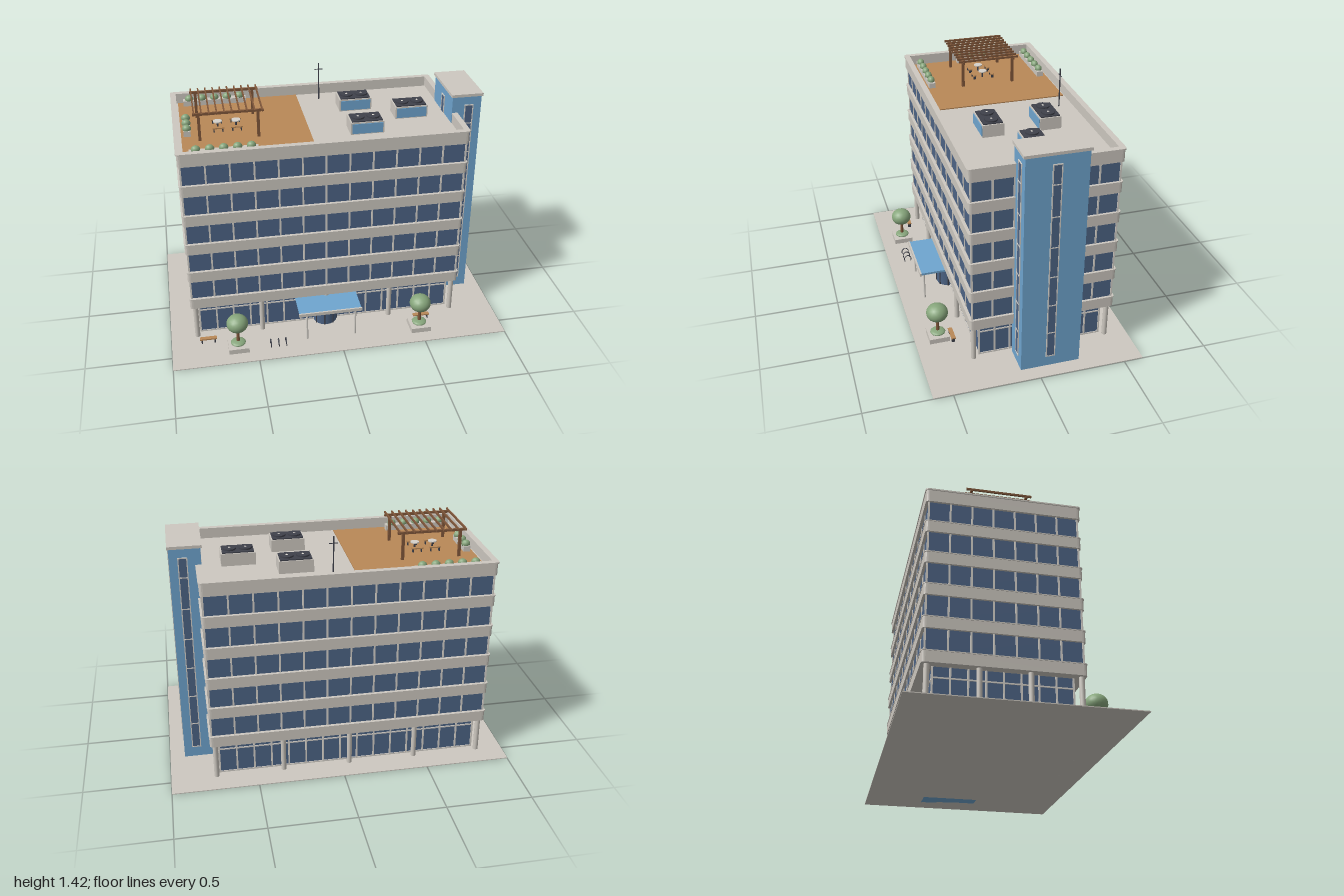
import * as THREE from 'three';

const mat = (name, color) => Object.assign(new THREE.MeshStandardMaterial({ color }), { name });
const stone = mat('stone', 0xcdc8c0), glass = mat('glass', 0x4d6485), blue = mat('bluePanel', 0x6fa5cf);
const wood = mat('wood', 0xb98857), darkWood = mat('darkWood', 0x80573a), dark = mat('darkMetal', 0x3f414b);
const leaf = mat('leaf', 0x87a67c), frame = mat('frame', 0xd6d2cb);

const CX = -0.053, CZ = -0.085;

function add(parent, name, geo, m, x = 0, y = 0, z = 0) {
  const mesh = new THREE.Mesh(geo, m);
  mesh.name = name;
  mesh.position.set(x, y, z);
  parent.add(mesh);
  return mesh;
}
// Box given by its limits on each axis
function box(parent, name, m, x0, x1, y0, y1, z0, z1) {
  return add(parent, name, new THREE.BoxGeometry(x1 - x0, y1 - y0, z1 - z0), m,
    (x0 + x1) / 2, (y0 + y1) / 2, (z0 + z1) / 2);
}
function cyl(parent, name, m, r, y0, y1, x, z, n = 16) {
  return add(parent, name, new THREE.CylinderGeometry(r, r, y1 - y0, n), m, x, (y0 + y1) / 2, z);
}
function group(parent, name) {
  const g = new THREE.Group();
  g.name = name;
  parent.add(g);
  return g;
}
function roundRect(p, w, d, r) {
  p.moveTo(-w + r, -d).lineTo(w - r, -d).quadraticCurveTo(w, -d, w, -d + r)
    .lineTo(w, d - r).quadraticCurveTo(w, d, w - r, d)
    .lineTo(-w + r, d).quadraticCurveTo(-w, d, -w, d - r)
    .lineTo(-w, -d + r).quadraticCurveTo(-w, -d, -w + r, -d);
  return p;
}
// Rounded horizontal slab, optionally with a hole leaving a wall of the given thickness
function slab(parent, name, w, d, y0, y1, wall = 0) {
  const s = roundRect(new THREE.Shape(), w, d, 0.02);
  if (wall) s.holes.push(roundRect(new THREE.Path(), w - wall, d - wall, 0.004));
  const geo = new THREE.ExtrudeGeometry(s, { depth: y1 - y0, bevelEnabled: false, curveSegments: 4 });
  geo.rotateX(-Math.PI / 2);
  return add(parent, name, geo, stone, CX, y0, CZ);
}
// Glazed storey with evenly spaced mullions on all four sides
function glazing(parent, x0, x1, z0, z1, y0, y1, nx, nz, t) {
  box(parent, 'glazing', glass, x0, x1, y0, y1, z0, z1);
  const post = (x, z) => box(parent, 'mullion', frame, x - t, x + t, y0, y1, z - t, z + t);
  for (let i = 0; i <= nx; i++) for (const z of [z0, z1]) post(x0 + (x1 - x0) * i / nx, z);
  for (let i = 1; i < nz; i++) for (const x of [x0, x1]) post(x, z0 + (z1 - z0) * i / nz);
}

function buildTower(root) {
  const g = group(root, 'stairTower');
  box(g, 'towerBody', blue, 0.738, 0.913, 0, 1.345, -0.255, 0.09);
  box(g, 'towerCap', stone, 0.73, 0.92, 1.345, 1.362, -0.265, 0.1);
  // Tall window strip, built facing +z and turned to each face
  const strip = (x, z, turn) => {
    const s = group(g, 'windowStrip');
    s.position.set(x, 0, z);
    s.rotation.y = turn;
    box(s, 'stripGlass', glass, -0.022, 0.022, 0.075, 1.288, -0.003, 0.003);
    for (const e of [-0.024, 0.024]) box(s, 'stripFrame', frame, e - 0.003, e + 0.003, 0.07, 1.292, -0.003, 0.005);
    for (const y of [0.073, 0.235, 0.422, 0.61, 0.797, 0.985, 1.175, 1.29])
      box(s, 'stripBar', frame, -0.026, 0.026, y - 0.003, y + 0.003, -0.003, 0.005);
  };
  strip(0.839, 0.09, 0);
  strip(0.913, -0.081, Math.PI / 2);
  strip(0.839, -0.255, Math.PI);
  strip(0.738, -0.081, -Math.PI / 2);
}

function buildRoof(root) {
  const g = group(root, 'roof');
  box(g, 'deck', wood, -0.835, -0.1, 1.18, 1.188, -0.48, 0.305);

  // Cooling units
  for (const [x, z] of [[0.222, -0.253], [0.527, -0.087], [0.222, 0.08]]) {
    const u = group(g, 'coolingUnit');
    u.position.set(x, 0, z);
    box(u, 'unitBody', stone, -0.098, 0.098, 1.18, 1.255, -0.063, 0.063);
    box(u, 'unitPanel', blue, -0.09, 0.09, 1.188, 1.248, 0.062, 0.067);
    box(u, 'unitTop', dark, -0.09, 0.09, 1.255, 1.261, -0.056, 0.056);
    for (const s of [-0.045, 0.045]) {
      cyl(u, 'fanRing', dark, 0.038, 1.261, 1.27, s, 0, 20);
      add(u, 'fanHub', new THREE.ConeGeometry(0.009, 0.006, 8), frame, s, 1.272, 0);
    }
  }

  // Pergola
  const p = group(g, 'pergola');
  for (const z of [-0.245, 0.07]) {
    for (const x of [-0.732, -0.398]) box(p, 'pergolaPost', darkWood, x - 0.008, x + 0.008, 1.185, 1.345, z - 0.008, z + 0.008);
    box(p, 'pergolaBeam', darkWood, -0.765, -0.365, 1.342, 1.356, z - 0.006, z + 0.006);
  }
  for (let i = 0; i < 10; i++) {
    const x = -0.757 + i * 0.0425;
    box(p, 'pergolaRafter', darkWood, x - 0.004, x + 0.004, 1.352, 1.364, -0.275, 0.1);
  }

  // Tables with benches
  for (const x of [-0.62, -0.513]) {
    cyl(g, 'tableTop', frame, 0.026, 1.225, 1.231, x, -0.085);
    cyl(g, 'tableLeg', dark, 0.005, 1.188, 1.225, x, -0.085, 8);
    for (const z of [-0.143, -0.028]) {
      box(g, 'deckBench', wood, x - 0.034, x + 0.034, 1.208, 1.215, z - 0.01, z + 0.01);
      for (const s of [-0.025, 0.025]) box(g, 'benchLeg', dark, x + s - 0.003, x + s + 0.003, 1.188, 1.208, z - 0.008, z + 0.008);
    }
  }

  // Planters with shrubs
  const shrub = (x, z) => add(g, 'shrub', new THREE.SphereGeometry(0.026, 12, 8), leaf, x, 1.228, z).scale.set(1, 0.9, 0.85);
  for (const z of [-0.44, 0.26]) {
    box(g, 'planter', stone, -0.802, -0.42, 1.185, 1.22, z - 0.02, z + 0.02);
    for (let i = 0; i < 5; i++) shrub(-0.765 + i * 0.0765, z);
  }
  box(g, 'planter', stone, -0.82, -0.78, 1.185, 1.22, -0.19, 0.012);
  for (const z of [-0.163, -0.089, -0.015]) shrub(-0.8, z);

  // Antenna mast
  cyl(g, 'mast', dark, 0.004, 1.18, 1.418, 0.033, -0.405, 8);
  box(g, 'mastBar', dark, 0.008, 0.058, 1.376, 1.38, -0.407, -0.403);
}

function buildEntrance(root) {
  const g = group(root, 'entrance');
  box(g, 'canopyTop', blue, -0.243, 0.13, 0.195, 0.208, 0.27, 0.485);
  box(g, 'canopyFascia', stone, -0.247, 0.134, 0.19, 0.21, 0.485, 0.495);
  for (const x of [-0.195, 0.098]) cyl(g, 'canopyPole', frame, 0.006, 0, 0.195, x, 0.465, 10);
  cyl(g, 'revolvingDoor', glass, 0.071, 0.005, 0.158, CX, 0.28, 24);
  cyl(g, 'doorCap', stone, 0.076, 0.155, 0.17, CX, 0.28, 24);
  for (let i = 0; i < 8; i++) {
    const a = i * Math.PI / 4 + 0.2;
    cyl(g, 'doorPost', dark, 0.004, 0.005, 0.156, CX + 0.072 * Math.cos(a), 0.28 + 0.072 * Math.sin(a), 6);
  }
}

function buildPlaza(root) {
  const g = group(root, 'plaza');
  for (const x of [-0.61, 0.497]) {
    const t = group(g, 'tree');
    t.position.set(x, 0, 0.472);
    box(t, 'treePlanter', stone, -0.06, 0.06, 0.004, 0.036, -0.06, 0.06);
    add(t, 'groundShrub', new THREE.SphereGeometry(0.045, 14, 8), leaf, 0, 0.045, 0).scale.y = 0.3;
    add(t, 'trunk', new THREE.CylinderGeometry(0.008, 0.011, 0.12, 10), darkWood, 0, 0.095, 0);
    add(t, 'crown', new THREE.IcosahedronGeometry(0.064, 3), leaf, 0, 0.182, 0).scale.y = 0.85;
  }
  // Street benches
  for (const x of [-0.782, 0.53]) {
    box(g, 'benchSeat', wood, x - 0.05, x + 0.05, 0.032, 0.04, 0.383, 0.408);
    for (const s of [-0.038, 0.038]) box(g, 'benchLeg', dark, x + s - 0.004, x + s + 0.004, 0.004, 0.032, 0.386, 0.405);
  }
  // Bicycle hoops
  for (const x of [-0.418, -0.372, -0.327]) {
    const hoop = new THREE.CatmullRomCurve3([[0, -0.02], [0.028, -0.02], [0.043, 0], [0.028, 0.02], [0, 0.02]]
      .map(([y, z]) => new THREE.Vector3(0, y, z)));
    add(g, 'bikeHoop', new THREE.TubeGeometry(hoop, 16, 0.003, 6), dark, x, 0.004, 0.49);
  }
}

export function createModel() {
  const root = new THREE.Group();
  root.name = 'officeBuilding';
  box(root, 'pavement', stone, -1, 1, 0, 0.005, -0.613, 0.613);

  // Recessed ground floor, transom and columns
  const lobby = group(root, 'groundFloor');
  glazing(lobby, -0.82, 0.714, -0.45, 0.28, 0.005, 0.23, 15, 8, 0.005);
  box(lobby, 'transom', frame, -0.824, 0.718, 0.16, 0.168, -0.454, 0.284);
  box(lobby, 'sill', frame, -0.824, 0.718, 0.005, 0.014, -0.454, 0.284);
  for (let i = 0; i < 5; i++)
    for (const z of [-0.482, 0.318]) cyl(lobby, 'column', stone, 0.015, 0.004, 0.23, -0.842 + i * 0.3945, z);
  for (const z of [-0.215, 0.052]) cyl(lobby, 'column', stone, 0.015, 0.004, 0.23, -0.842, z);

  // Upper storeys: spandrel band below, glazing above
  for (let i = 0; i < 5; i++) {
    const y = 0.223 + i * 0.189, floor = group(root, 'storey');
    slab(floor, 'spandrelBand', 0.819, 0.428, y, y + 0.067);
    glazing(floor, -0.859, 0.754, -0.497, 0.328, y + 0.06, y + 0.192, 12, 7, 0.005);
    slab(floor, 'bandSill', 0.822, 0.431, y + 0.062, y + 0.068);
  }

  // Roof slab, parapet and coping
  slab(root, 'roofSlab', 0.815, 0.424, 1.167, 1.182);
  slab(root, 'parapet', 0.82, 0.43, 1.167, 1.238, 0.026);
  slab(root, 'coping', 0.825, 0.434, 1.237, 1.246, 0.034);

  buildTower(root);
  buildRoof(root);
  buildEntrance(root);
  buildPlaza(root);
  return root;
}
